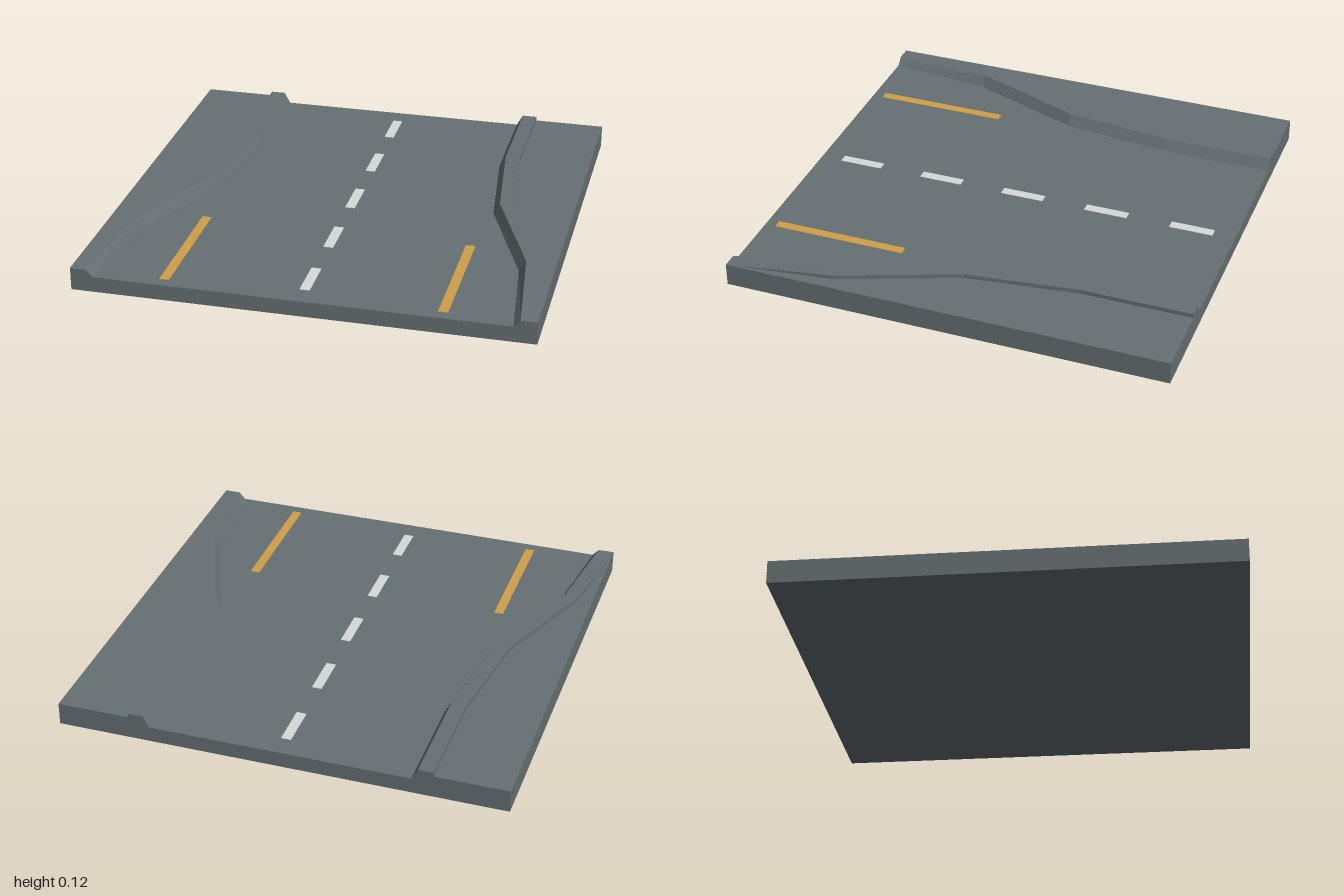
import * as THREE from 'three';

const ROAD_Y = 0.07, GROUND_Y = 0.102, KERB_Y = 0.121;

// kerb stations along z: foot, inner top edge, outer top edge, top height
const STATIONS = [
  { z: -1, foot: 0.58, top: 0.608, outer: 0.675, y: KERB_Y },
  { z: -0.5, foot: 0.58, top: 0.608, outer: 0.675, y: KERB_Y },
  { z: 0, foot: 0.64, top: 0.668, outer: 0.738, y: KERB_Y },
  { z: 0.52, foot: 0.842, top: 0.872, outer: 0.938, y: KERB_Y },
  { z: 1, foot: 0.9, top: 0.928, outer: 1, y: GROUND_Y },
];

// upper profiles, listed from low x to high x
const roadProfile = s => [[-s.foot, ROAD_Y], [s.foot, ROAD_Y]];
const leftProfile = s => [
  [s.foot, ROAD_Y], [s.top, s.y], [s.outer, s.y],
  [s.outer, GROUND_Y], [1, GROUND_Y], [1, 0],
];
const rightProfile = s => leftProfile(s).map(([x, y]) => [-x, y]).reverse();

// joins the profiles of all stations into a slab with underside and ends
function sweep(name, profile, material) {
  const pos = [];
  const tri = (a, b, c) => {
    const n = b.clone().sub(a).cross(c.clone().sub(a));
    if (n.length() > 1e-8) for (const p of [a, b, c]) pos.push(p.x, p.y, p.z);
  };
  const quad = (a, b, c, d) => { tri(a, b, c); tri(a, c, d); };
  const ground = p => new THREE.Vector3(p.x, 0, p.z);
  const rows = STATIONS.map(s => profile(s).map(([x, y]) => new THREE.Vector3(x, y, s.z)));
  const last = rows.length - 1;
  for (let i = 0; i < last; i++) {
    for (let j = 0; j < rows[i].length - 1; j++) {
      const a = rows[i][j], b = rows[i][j + 1];
      const d = rows[i + 1][j], c = rows[i + 1][j + 1];
      quad(a, d, c, b);
      quad(ground(a), ground(b), ground(c), ground(d));
      if (i === 0) quad(ground(b), ground(a), a, b);
      if (i === last - 1) quad(ground(d), ground(c), c, d);
    }
  }
  const geo = new THREE.BufferGeometry();
  geo.setAttribute('position', new THREE.Float32BufferAttribute(pos, 3));
  geo.computeVertexNormals();
  const mesh = new THREE.Mesh(geo, material);
  mesh.name = name;
  return mesh;
}

// thin painted strip on the road
function strip(name, x, z, width, length, material) {
  const mesh = new THREE.Mesh(new THREE.BoxGeometry(width, 0.004, length), material);
  mesh.position.set(x, ROAD_Y, z);
  mesh.name = name;
  return mesh;
}

export function createModel() {
  const asphalt = new THREE.MeshStandardMaterial({ color: 0x667073 });
  asphalt.name = 'asphalt';
  const white = new THREE.MeshStandardMaterial({ color: 0xd6dadb });
  white.name = 'whitePaint';
  const yellow = new THREE.MeshStandardMaterial({ color: 0xcf9f48 });
  yellow.name = 'yellowPaint';

  const model = new THREE.Group();
  model.name = 'wideningRoad';

  // roadbed and raised sides
  model.add(
    sweep('roadbed', roadProfile, asphalt),
    sweep('leftKerbAndShoulder', leftProfile, asphalt),
    sweep('rightKerbAndShoulder', rightProfile, asphalt),
  );

  // dashed centre line
  for (let i = -2; i <= 2; i++) model.add(strip('centreDash', 0, i * 0.4, 0.044, 0.2, white));

  // yellow lane lines on the wide end
  for (const side of [-1, 1]) model.add(strip('laneLine', side * 0.6, 0.645, 0.042, 0.61, yellow));

  return model;
}
